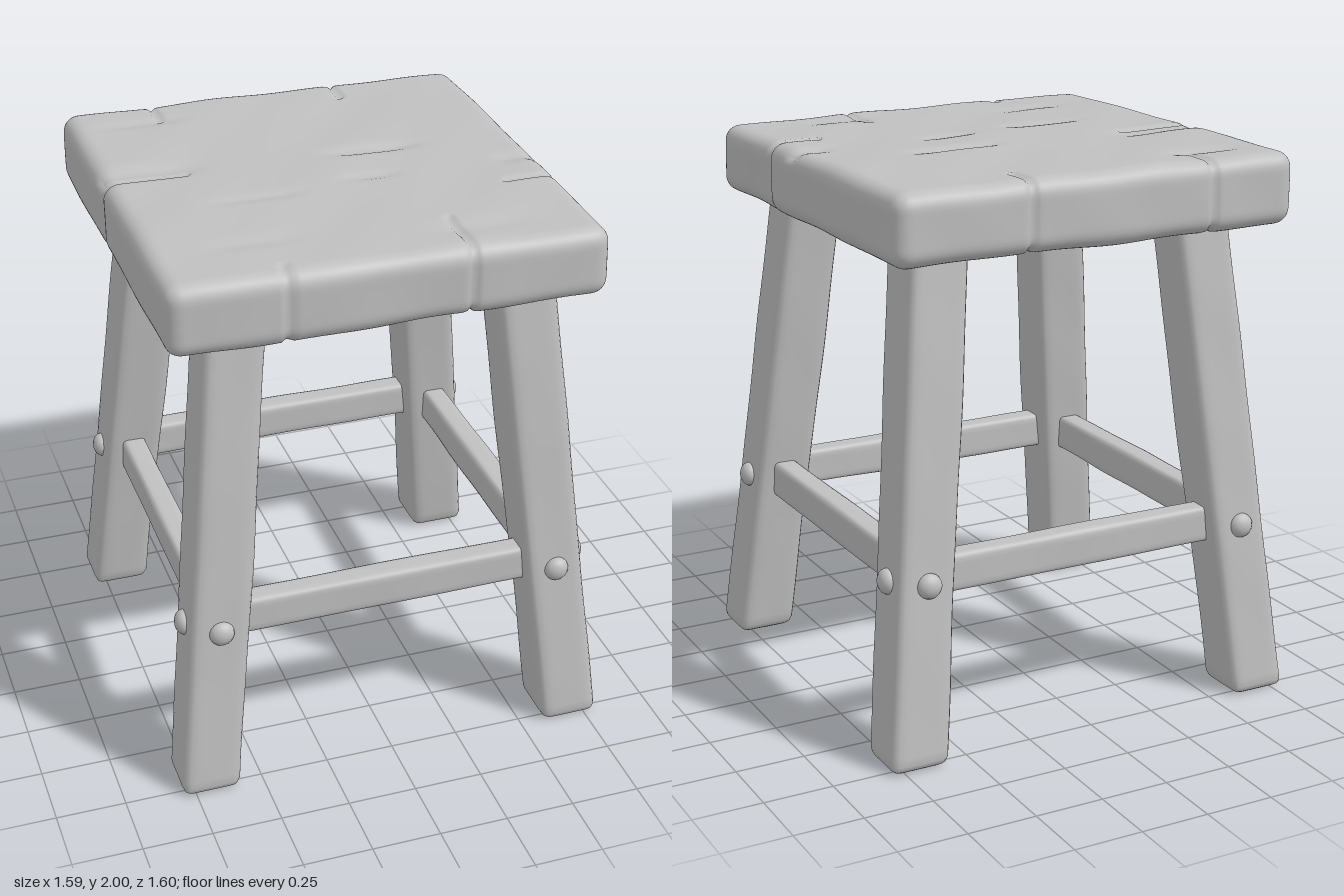
import * as THREE from 'three';
import { mergeVertices } from 'three/addons/utils/BufferGeometryUtils.js';

const wood = new THREE.MeshStandardMaterial({ color: 0xc0c0c0 });
wood.name = 'plainWood';

// Gentle repeatable unevenness for hand-hewn timber
const wobble = (x, y, z) =>
  Math.sin(7 * x + 3.1 * z + 1.3) * Math.sin(5 * y - 6 * z + 0.7 + 2 * x) * 0.6 +
  Math.sin(15 * x - 4 * y + 2) * Math.sin(13 * z + 9 * y) * 0.4;

// Finely divided block with rounded edges; "shape" then moves each vertex
function hewnBlock(size, segments, radius, shape) {
  const geometry = new THREE.BoxGeometry(...size, ...segments);
  geometry.deleteAttribute('uv');
  geometry.deleteAttribute('normal');
  const merged = mergeVertices(geometry, 1e-5);
  const pos = merged.attributes.position;
  const inner = new THREE.Vector3(...size).multiplyScalar(0.5).subScalar(radius);
  const low = inner.clone().negate();
  const p = new THREE.Vector3();
  for (let i = 0; i < pos.count; i++) {
    p.fromBufferAttribute(pos, i);
    const core = p.clone().clamp(low, inner);
    const out = p.clone().sub(core).normalize();
    p.copy(core).addScaledVector(out, radius);
    shape(p, out);
    pos.setXYZ(i, p.x, p.y, p.z);
  }
  merged.computeVertexNormals();
  return merged;
}

function add(group, name, geometry) {
  const mesh = new THREE.Mesh(geometry, wood);
  mesh.name = name;
  group.add(mesh);
  return mesh;
}

// Plank joints cut into the seat: [axis across the joint, place, start, end along it]
const joints = [
  ['x', -0.36, 0.68, 0.8], ['x', 0.27, 0.5, 0.8],
  ['x', -0.43, -0.8, -0.58], ['x', 0.27, -0.8, -0.6],
  ['z', 0.285, 0.56, 0.8], ['z', -0.095, -0.8, -0.45],
];

// Shallow chips worn into the top: [x, z, half length, half width, depth]
const chips = [
  [0.22, -0.11, 0.16, 0.03, 0.016], [-0.6, -0.15, 0.18, 0.045, 0.014],
  [0.14, 0.11, 0.1, 0.025, 0.01], [-0.28, 0.17, 0.16, 0.025, 0.008],
  [0.7, 0.1, 0.09, 0.035, 0.012], [-0.5, -0.58, 0.15, 0.03, 0.008],
  [0.35, 0.6, 0.15, 0.05, 0.008], [-0.4, 0.5, 0.14, 0.04, 0.008],
];

function seatGeometry() {
  return hewnBlock([1.53, 0.255, 1.53], [96, 16, 96], 0.06, (p, out) => {
    let depth = 0;
    for (const [axis, at, from, to] of joints) {
      const along = axis === 'x' ? p.z : p.x;
      if (along > from && along < to) {
        depth += 0.014 * Math.exp(-(((p[axis] - at) / 0.011) ** 2));
      }
    }
    if (out.y > 0.5) {
      for (const [x, z, length, width, cut] of chips) {
        depth += cut * Math.exp(-(((p.x - x) / length) ** 4) - ((p.z - z) / width) ** 2);
      }
    }
    p.addScaledVector(out, 0.006 * wobble(p.x, p.y, p.z) - depth);
    // The board tilts and thins slightly toward one side
    if (p.y > 0) p.y -= 0.008 * p.x;
  });
}

// A square post leaning inward, with level ends
const legHeight = 1.78, lean = 0.104, footCentre = 0.692;
function legGeometry(sx, sz) {
  return hewnBlock([0.215, legHeight, 0.215], [10, 60, 10], 0.035, (p, out) => {
    const rise = p.y + legHeight / 2;
    p.x += out.x * 0.004 * wobble(p.x + sx, p.y, p.z + sz);
    p.z += out.z * 0.004 * wobble(p.x + sx, p.y, p.z + sz);
    p.set(p.x + sx * (footCentre - lean * rise), rise, p.z + sz * (footCentre - lean * rise));
  });
}

export function createModel() {
  const group = new THREE.Group();
  group.name = 'stool';

  add(group, 'seat', seatGeometry()).position.set(-0.018, 1.863, -0.002);

  // Stretchers and pegs meet the legs at this height
  const railY = 0.642;
  const legAtRail = footCentre - lean * railY;
  const railGeometry = hewnBlock([1.24, 0.135, 0.09], [40, 8, 6], 0.016, (p, out) => {
    p.addScaledVector(out, 0.003 * wobble(p.x, p.y, p.z));
  });
  const pegGeometry = new THREE.SphereGeometry(0.045, 16, 10);

  for (const sx of [-1, 1]) {
    for (const sz of [-1, 1]) {
      const side = (sz > 0 ? 'front' : 'back') + (sx > 0 ? 'Left' : 'Right');
      add(group, side + 'Leg', legGeometry(sx, sz));

      // Rounded pegs on both outer faces of the leg
      const out = legAtRail + 0.107;
      const pegA = add(group, side + 'EndPeg', pegGeometry);
      pegA.position.set(sx * legAtRail, railY, sz * out);
      pegA.scale.z = 0.75;
      const pegB = add(group, side + 'SidePeg', pegGeometry);
      pegB.position.set(sx * out, railY, sz * legAtRail);
      pegB.scale.x = 0.75;
    }
  }

  // Four stretchers between the legs
  ['front', 'left', 'back', 'right'].forEach((name, i) => {
    const angle = i * Math.PI / 2;
    const rail = add(group, name + 'Stretcher', railGeometry);
    rail.position.set(Math.sin(angle) * legAtRail, railY, Math.cos(angle) * legAtRail);
    rail.rotation.y = angle;
  });

  return group;
}
